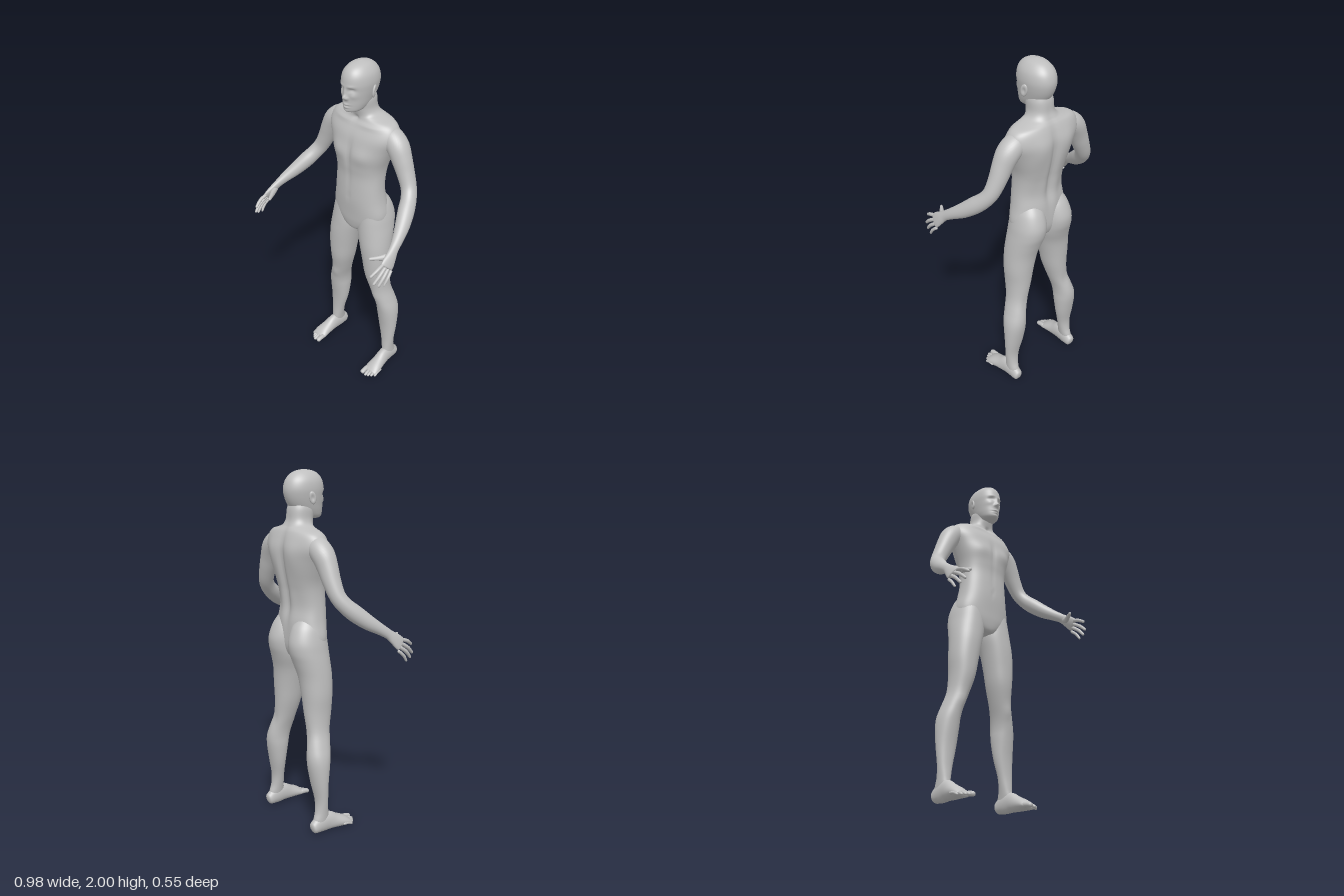
import * as THREE from 'three';

const skin = new THREE.MeshStandardMaterial({ color: 0xbfbfbf });
skin.name = 'plain grey skin';

// Catmull-Rom blend of table rows, u from 0 to 1
function sample(rows, u) {
  const f = u * (rows.length - 1), i = Math.min(Math.floor(f), rows.length - 2), t = f - i;
  const row = k => rows[Math.max(0, Math.min(rows.length - 1, k))];
  const [a, b, c, d] = [row(i - 1), row(i), row(i + 1), row(i + 2)];
  return b.map((_, k) => 0.5 * (2 * b[k] + (c[k] - a[k]) * t +
    (2 * a[k] - 5 * b[k] + 4 * c[k] - d[k]) * t * t +
    (3 * b[k] - a[k] - 3 * c[k] + d[k]) * t * t * t));
}

// Closed rings of points skinned into one smooth surface
function skinRings(nRows, nCols, ringAt) {
  const pos = [], index = [];
  for (let i = 0; i <= nRows; i++) {
    const point = ringAt(0.5 - 0.5 * Math.cos(Math.PI * i / nRows));
    for (let j = 0; j < nCols; j++) pos.push(...point(2 * Math.PI * j / nCols));
  }
  for (let i = 0; i < nRows; i++) for (let j = 0; j < nCols; j++) {
    const a = i * nCols + j, b = i * nCols + (j + 1) % nCols;
    index.push(a, a + nCols, b, b, a + nCols, b + nCols);
  }
  const g = new THREE.BufferGeometry();
  g.setAttribute('position', new THREE.Float32BufferAttribute(pos, 3));
  g.setIndex(index);
  g.computeVertexNormals();
  return g;
}

const power = (v, e) => Math.sign(v) * Math.pow(Math.abs(v), e);

// Level rings from rows [y, xMin, xMax, zFront, zBack];
// bumps are [x, y, side (1 front, -1 back), height, spreadX, spreadY]
function levelLoft(rows, bumps, nRows, nCols, squareness = 2) {
  return skinRings(nRows, nCols, u => {
    const [y, x0, x1, zf, zb] = sample(rows, u);
    return t => {
      const c = power(Math.cos(t), 2 / squareness), s = power(Math.sin(t), 2 / squareness);
      const x = (x0 + x1) / 2 + c * (x1 - x0) / 2;
      let z = (zf + zb) / 2 + s * (zf - zb) / 2;
      for (const [bx, by, side, h, sx, sy] of bumps) {
        const w = Math.sqrt(Math.max(0, s * side));
        z += side * w * h * Math.exp(-(((Math.abs(x) - bx) / sx) ** 2) - ((y - by) / sy) ** 2);
      }
      return [x, y, z];
    };
  });
}

// Rounded tube from rows [x, y, z, radius along wide, radius across]
function limb(rows, wide, nRows, nCols, cap = 0.1) {
  return skinRings(nRows, nCols, u => {
    const p = sample(rows, u), e = 0.01;
    const q = sample(rows, Math.min(1, u + e)), r = sample(rows, Math.max(0, u - e));
    const T = new THREE.Vector3(q[0] - r[0], q[1] - r[1], q[2] - r[2]).normalize();
    const U = wide.clone().addScaledVector(T, -wide.dot(T)).normalize();
    const V = U.clone().cross(T);
    const k = Math.max(0, 1 - Math.min(u, 1 - u) / cap), round = Math.sqrt(Math.max(0, 1 - k * k));
    return t => {
      const a = Math.cos(t) * p[3] * round, b = Math.sin(t) * p[4] * round;
      return [p[0] + U.x * a + V.x * b, Math.max(0, p[1] + U.y * a + V.y * b), p[2] + U.z * a + V.z * b];
    };
  });
}

function mirrored(geometry) {
  const g = geometry.clone().scale(-1, 1, 1), ix = g.index.array;
  for (let i = 0; i < ix.length; i += 3) [ix[i], ix[i + 1]] = [ix[i + 1], ix[i]];
  g.computeVertexNormals();
  return g;
}

export function createModel() {
  const group = new THREE.Group();
  group.name = 'standing figure';
  const add = (name, geometry) => {
    const mesh = new THREE.Mesh(geometry, skin);
    mesh.name = name;
    group.add(mesh);
  };
  const addPair = (name, geometry) => {
    add('left ' + name, geometry);
    add('right ' + name, mirrored(geometry));
  };

  // Torso and neck: [y, half width, front, back]
  const torso = [
    [0.975, 0, -0.13, -0.13], [0.985, 0.03, -0.08, -0.18], [1.0, 0.08, -0.055, -0.21],
    [1.05, 0.155, -0.042, -0.232], [1.11, 0.178, -0.036, -0.238], [1.2, 0.162, -0.028, -0.236],
    [1.28, 0.152, -0.028, -0.224], [1.36, 0.15, -0.03, -0.235], [1.42, 0.157, -0.024, -0.25],
    [1.48, 0.176, -0.021, -0.262], [1.54, 0.198, -0.028, -0.268], [1.6, 0.222, -0.04, -0.269],
    [1.65, 0.215, -0.062, -0.258], [1.683, 0.185, -0.08, -0.246], [1.7, 0.125, -0.084, -0.236],
    [1.715, 0.086, -0.082, -0.226], [1.745, 0.069, -0.074, -0.214], [1.8, 0.066, -0.062, -0.208],
    [1.85, 0.05, -0.07, -0.19],
  ].map(([y, w, f, b]) => [y, -w, w, f, b]);
  add('torso', levelLoft(torso, [
    [0.085, 1.5, 1, 0.011, 0.06, 0.045], [0, 1.5, 1, -0.009, 0.016, 0.08],       // chest
    [0, 1.34, 1, -0.004, 0.012, 0.08], [0, 1.225, 1, -0.01, 0.009, 0.01],        // belly
    [0.09, 1.668, 1, 0.007, 0.07, 0.01], [0, 1.69, 1, -0.01, 0.015, 0.014],      // collar bones
    [0, 1.45, -1, -0.02, 0.022, 0.2], [0.085, 1.57, -1, 0.011, 0.05, 0.08],      // spine, shoulder blades
    [0.045, 1.3, -1, 0.007, 0.03, 0.09],
  ], 100, 96, 2.25));

  // Head with a modelled face
  const head = [
    [1.741, 0, -0.06, -0.06], [1.746, 0.03, -0.024, -0.1], [1.758, 0.049, -0.01, -0.14],
    [1.785, 0.062, -0.006, -0.18], [1.82, 0.071, -0.004, -0.209], [1.86, 0.079, -0.002, -0.227],
    [1.9, 0.083, 0, -0.233], [1.94, 0.077, -0.007, -0.223], [1.97, 0.06, -0.026, -0.2],
    [1.99, 0.036, -0.06, -0.167], [2.0, 0, -0.115, -0.115],
  ].map(([y, w, f, b]) => [y, -w, w, f, b]);
  add('head', levelLoft(head, [
    [0, 1.834, 1, 0.018, 0.011, 0.013], [0, 1.86, 1, 0.009, 0.009, 0.022],       // nose
    [0.012, 1.828, 1, 0.008, 0.007, 0.007],
    [0.033, 1.872, 1, -0.014, 0.017, 0.012], [0.033, 1.867, 1, 0.009, 0.011, 0.007], // eyes
    [0.033, 1.866, 1, -0.003, 0.011, 0.002], [0.03, 1.893, 1, 0.004, 0.02, 0.007],
    [0, 1.793, 1, 0.007, 0.02, 0.006], [0, 1.778, 1, 0.007, 0.017, 0.006],       // lips
    [0, 1.786, 1, -0.006, 0.022, 0.0025], [0, 1.758, 1, 0.005, 0.018, 0.01],
    [0.045, 1.842, 1, 0.005, 0.015, 0.015],                                      // cheeks
  ], 110, 112, 2.1));

  // Ears, dished in the middle
  const ear = new THREE.SphereGeometry(1, 24, 18);
  const ep = ear.attributes.position;
  for (let i = 0; i < ep.count; i++) {
    const rim = Math.hypot(ep.getY(i), ep.getZ(i));
    if (ep.getX(i) > 0) ep.setX(i, ep.getX(i) - 0.9 * Math.exp(-((rim / 0.5) ** 2)));
  }
  ear.scale(0.01, 0.034, 0.019).rotateY(0.4).rotateX(-0.2).translate(0.088, 1.856, -0.122);
  ear.computeVertexNormals();
  addPair('ear', ear);

  // Legs with buttocks, from ankle up to hip
  addPair('leg', levelLoft([
    [0.03, 0.198, 0.25, -0.15, -0.222], [0.08, 0.192, 0.252, -0.125, -0.22],
    [0.13, 0.184, 0.254, -0.127, -0.204], [0.2, 0.171, 0.259, -0.13, -0.2],
    [0.3, 0.148, 0.265, -0.125, -0.218], [0.4, 0.137, 0.265, -0.11, -0.235],
    [0.46, 0.135, 0.257, -0.1, -0.237], [0.52, 0.125, 0.238, -0.09, -0.227],
    [0.6, 0.1, 0.215, -0.076, -0.211], [0.7, 0.07, 0.21, -0.054, -0.213],
    [0.8, 0.05, 0.215, -0.045, -0.219], [0.9, 0.028, 0.21, -0.04, -0.229],
    [0.98, 0.006, 0.202, -0.042, -0.252], [1.04, 0.001, 0.193, -0.045, -0.271],
    [1.1, 0.002, 0.183, -0.05, -0.274], [1.17, 0.01, 0.163, -0.06, -0.25],
    [1.22, 0.03, 0.135, -0.08, -0.215],
  ], [[0.165, 0.55, 1, 0.006, 0.03, 0.035], [0.16, 0.56, -1, -0.006, 0.02, 0.05]], 90, 48, 2.1));

  // Feet and toes
  const across = new THREE.Vector3(1, 0, 0);
  addPair('foot', limb([
    [0.222, 0.034, -0.237, 0.024, 0.028], [0.222, 0.04, -0.215, 0.03, 0.04],
    [0.222, 0.05, -0.18, 0.033, 0.052], [0.224, 0.055, -0.13, 0.035, 0.056],
    [0.228, 0.042, -0.08, 0.039, 0.043], [0.232, 0.03, -0.03, 0.046, 0.031],
    [0.232, 0.021, 0.0, 0.047, 0.021], [0.232, 0.017, 0.02, 0.041, 0.013],
  ], across, 40, 32, 0.08));
  for (let i = 0; i < 5; i++) {
    const x = i ? 0.211 + i * 0.0158 : 0.2, r = i ? 0.0095 - i * 0.0004 : 0.0145;
    const tip = [0.056, 0.056, 0.047, 0.034, 0.018][i];
    addPair('toe ' + (i + 1), limb([
      [x, 0.024, tip - 0.065, r, r], [x, 0.021, tip - 0.03, r, r],
      [x + 0.001, r, tip, r * 1.05, r * 0.9]], across, 16, 14, 0.25));
  }

  // Arms running into the palms
  const palmWide = new THREE.Vector3(0.02, -0.045, -0.04).normalize();
  addPair('arm', limb([
    [0.13, 1.63, -0.165, 0.045, 0.045], [0.18, 1.612, -0.163, 0.06, 0.06],
    [0.226, 1.575, -0.161, 0.062, 0.062], [0.26, 1.515, -0.158, 0.055, 0.056],
    [0.29, 1.45, -0.156, 0.049, 0.049], [0.325, 1.378, -0.146, 0.043, 0.043],
    [0.352, 1.33, -0.118, 0.043, 0.042], [0.378, 1.285, -0.07, 0.046, 0.043],
    [0.407, 1.237, -0.01, 0.041, 0.038], [0.431, 1.198, 0.05, 0.032, 0.029],
    [0.447, 1.165, 0.1, 0.028, 0.021], [0.456, 1.14, 0.13, 0.034, 0.019],
    [0.463, 1.117, 0.157, 0.041, 0.016], [0.468, 1.098, 0.178, 0.041, 0.012],
  ], palmWide, 80, 36, 0.03));

  // Fingers: [knuckle, tip]
  [
    [[0.456, 1.124, 0.185], [0.445, 1.08, 0.276]], [[0.463, 1.107, 0.174], [0.462, 1.035, 0.27]],
    [[0.469, 1.09, 0.161], [0.474, 1.015, 0.244]], [[0.476, 1.072, 0.146], [0.481, 1.003, 0.208]],
  ].forEach(([a, b], i) => {
    const r = i === 3 ? 0.0085 : 0.0102;
    const mid = a.map((v, k) => (v + b[k]) / 2 + [0.005, 0.005, 0.003][k]);
    addPair('finger ' + (i + 1), limb([[...a, r, r], [...mid, r, r], [...b, r * 0.75, r * 0.7]],
      palmWide, 20, 14, 0.12));
  });
  addPair('thumb', limb([
    [0.449, 1.145, 0.115, 0.018, 0.016], [0.433, 1.136, 0.152, 0.019, 0.015],
    [0.408, 1.136, 0.19, 0.012, 0.011], [0.386, 1.138, 0.224, 0.009, 0.008],
  ], palmWide, 24, 16, 0.12));

  return group;
}
